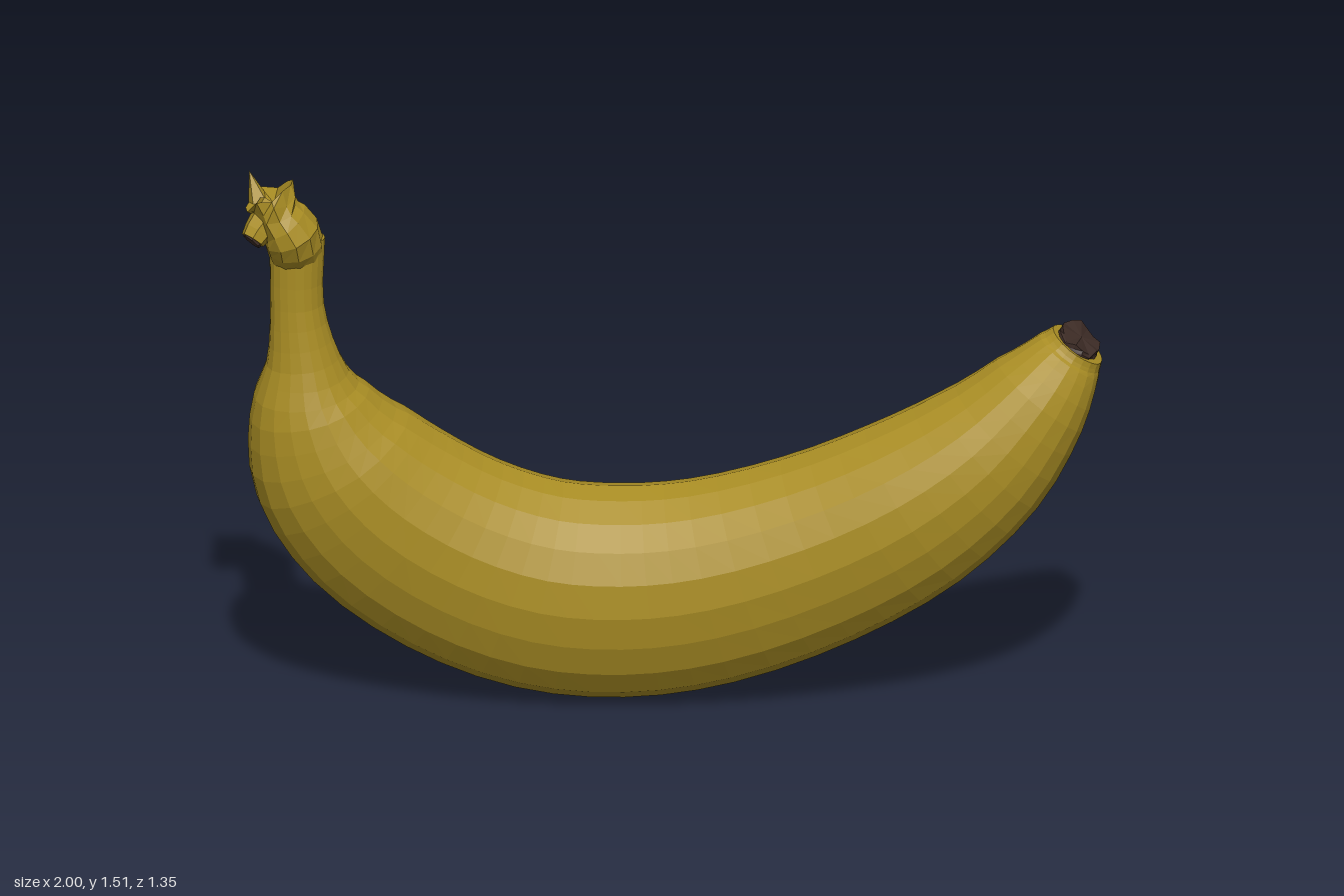
import * as THREE from 'three';

const peel = new THREE.MeshStandardMaterial({ color: 0xa98d24 });
peel.name = 'yellow peel';
const dry = new THREE.MeshStandardMaterial({ color: 0x3c2b25 });
dry.name = 'dark dried end';

// Sideways axis of the fruit, square to the plane it curves in
const SIDE = new THREE.Vector3(0.475, 0, 0.88).normalize();

function seeded(seed) {
  return () => {
    seed = (seed * 16807) % 2147483647;
    return seed / 2147483647 - 0.5;
  };
}

// Lofts oval rings along stations [x, y, z, halfHeight, halfWidth].
// ridge gives a soft five-sided section; rough is the jitter, growing towards the end.
function loft(name, stations, material, { rings = 10, sides = 20, ridge = 0, rough = 0, dent = 0, seed = 7 } = {}) {
  const path = new THREE.CatmullRomCurve3(stations.map(s => new THREE.Vector3(s[0], s[1], s[2])));
  const sizes = new THREE.CatmullRomCurve3(
    stations.map(s => new THREE.Vector3(s[3], s[4], 0)), false, 'catmullrom', 0.5);
  const rand = seeded(seed);
  const pos = [], index = [];
  for (let i = 0; i <= rings; i++) {
    const t = i / rings;
    const p = path.getPoint(t), tan = path.getTangent(t), r = sizes.getPoint(t);
    const v = SIDE.clone().addScaledVector(tan, -SIDE.dot(tan)).normalize();
    const n = v.clone().cross(tan);
    for (let j = 0; j < sides; j++) {
      const a = (j / sides) * Math.PI * 2;
      const k = 1 + ridge * Math.cos(5 * a) + rough * rand() * 4 * t;
      const q = p.clone()
        .addScaledVector(n, Math.cos(a) * r.x * k)
        .addScaledVector(v, Math.sin(a) * r.y * k)
        .addScaledVector(tan, rough * t * t * rand() * 0.6);
      pos.push(q.x, q.y, q.z);
    }
  }
  for (let i = 0; i < rings; i++) {
    for (let j = 0; j < sides; j++) {
      const a = i * sides + j, b = i * sides + (j + 1) % sides;
      index.push(a, b, b + sides, a, b + sides, a + sides);
    }
  }
  // Close both ends with fans; dent sinks the far one
  const first = path.getPoint(0);
  const last = path.getPoint(1).addScaledVector(path.getTangent(1), -dent);
  pos.push(first.x, first.y, first.z, last.x, last.y, last.z);
  const c0 = (rings + 1) * sides, e = rings * sides;
  for (let j = 0; j < sides; j++) {
    const k = (j + 1) % sides;
    index.push(c0, k, j, c0 + 1, e + j, e + k);
  }
  const indexed = new THREE.BufferGeometry();
  indexed.setAttribute('position', new THREE.Float32BufferAttribute(pos, 3));
  indexed.setIndex(index);
  const geometry = indexed.toNonIndexed(); // faceted normals
  geometry.computeVertexNormals();
  const mesh = new THREE.Mesh(geometry, material);
  mesh.name = name;
  return mesh;
}

export function createModel() {
  const group = new THREE.Group();
  group.name = 'banana';

  // Curved fruit, from the neck of the stem to the blossom end
  group.add(loft('fruit', [
    [-0.835, 1.33, 0.535, 0.075, 0.07],
    [-0.835, 1.14, 0.535, 0.072, 0.068],
    [-0.825, 0.98, 0.52, 0.1, 0.097],
    [-0.82, 0.85, 0.497, 0.165, 0.158],
    [-0.78, 0.69, 0.443, 0.235, 0.212],
    [-0.685, 0.535, 0.36, 0.27, 0.23],
    [-0.52, 0.393, 0.245, 0.285, 0.232],
    [-0.325, 0.305, 0.125, 0.293, 0.23],
    [-0.13, 0.284, 0.012, 0.294, 0.23],
    [0.08, 0.315, -0.1, 0.285, 0.23],
    [0.335, 0.412, -0.235, 0.267, 0.23],
    [0.56, 0.545, -0.35, 0.244, 0.226],
    [0.73, 0.695, -0.45, 0.204, 0.205],
    [0.845, 0.85, -0.528, 0.15, 0.16],
    [0.905, 0.955, -0.582, 0.098, 0.105],
    [0.925, 0.987, -0.592, 0.08, 0.085],
  ], peel, { rings: 45, sides: 20, ridge: 0.012 }));

  // Flared, torn head of the stem
  group.add(loft('stemHead', [
    [-0.835, 1.28, 0.537, 0.072, 0.068],
    [-0.837, 1.35, 0.56, 0.08, 0.1],
    [-0.868, 1.405, 0.578, 0.06, 0.085],
    [-0.892, 1.46, 0.582, 0.072, 0.088],
  ], peel, { rings: 6, sides: 11, rough: 0.06, dent: 0.03, seed: 31 }));

  // Raised torn corner of the head
  const corner = new THREE.Mesh(new THREE.ConeGeometry(0.035, 0.1, 5).toNonIndexed(), peel);
  corner.geometry.computeVertexNormals();
  corner.position.set(-0.95, 1.455, 0.56);
  corner.rotation.z = 0.35;
  corner.name = 'tornCorner';
  group.add(corner);

  // Broken nub on the front of the head, with a dried face
  const nub = [[-0.875, 1.42, 0.58], [-0.895, 1.375, 0.625], [-0.905, 1.345, 0.65]];
  group.add(loft('stemNub', nub.map((p, i) => [...p, 0.05 - i * 0.008, 0.05 - i * 0.008]),
    peel, { rings: 3, sides: 7 }));
  group.add(loft('nubFace', [
    [-0.9045, 1.346, 0.649, 0.029, 0.029],
    [-0.907, 1.341, 0.654, 0.027, 0.027],
  ], dry, { rings: 1, sides: 7 }));

  // Dried blossom end
  group.add(loft('blossomEnd', [
    [0.908, 0.965, -0.588, 0.062, 0.076],
    [0.922, 0.988, -0.593, 0.062, 0.077],
    [0.934, 1.007, -0.597, 0.058, 0.072],
  ], dry, { rings: 4, sides: 14, rough: 0.035, seed: 5 }));

  return group;
}
